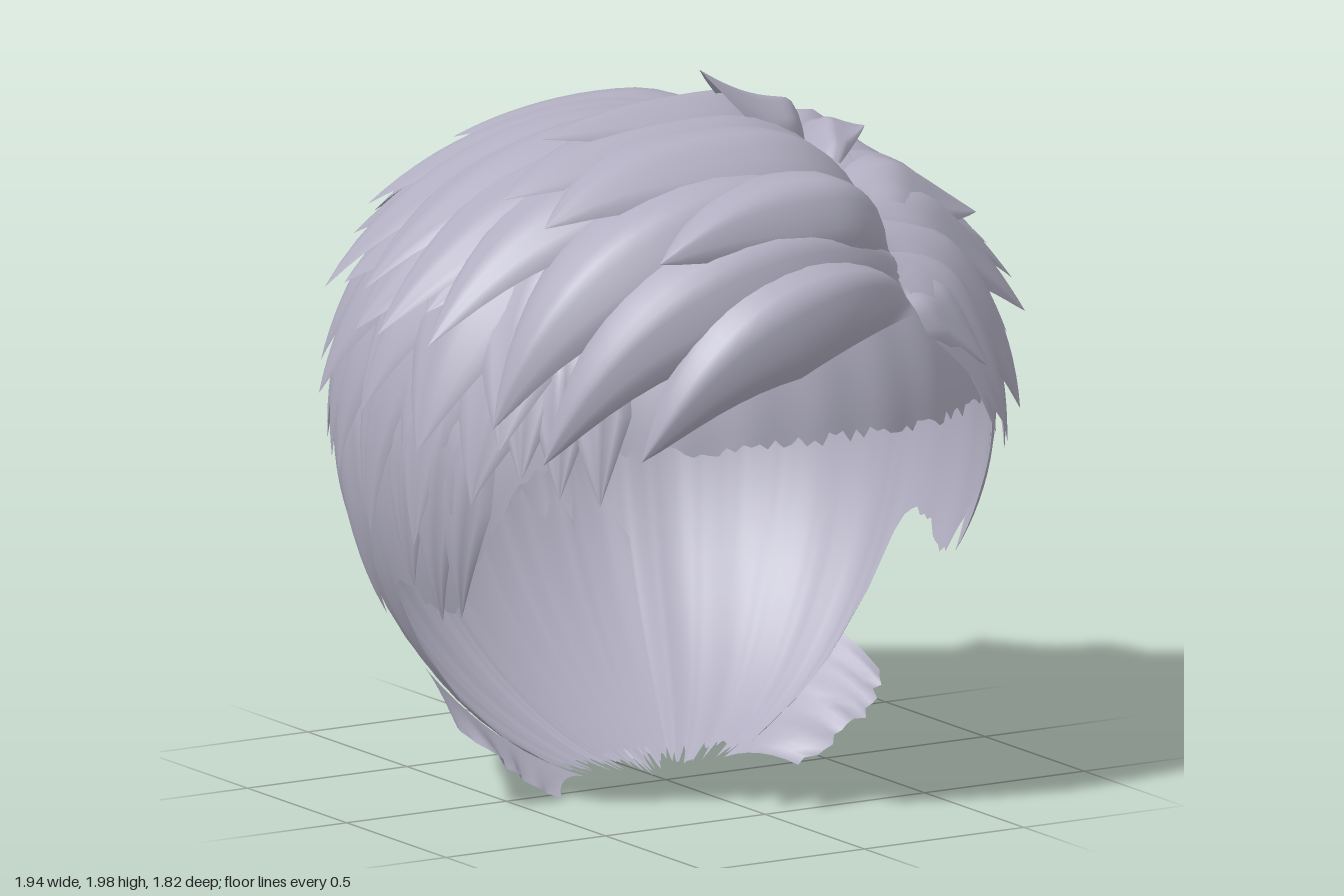
import * as THREE from 'three';

const RAD = Math.PI / 180;
const hair = new THREE.MeshStandardMaterial({ color: 0xb0aec0, side: THREE.DoubleSide });
hair.name = 'pale lilac grey hair';

let seed = 7;
const rand = () => (seed = (seed * 16807) % 2147483647) / 2147483647;
const vary = (v, d) => v + (rand() * 2 - 1) * d;
const lerp = THREE.MathUtils.lerp;
const TOP = 0.78, BOTTOM = 0.99;

// Head surface: a direction from the head centre, pushed out by off
function surface(dir, off) {
  const c = THREE.MathUtils.clamp(dir.y, -1, 1), s = Math.sqrt(1 - c * c);
  const a = Math.atan2(dir.x, dir.z);
  const rx = 0.87 * Math.pow(s, c > 0 ? 0.8 : 1.03);
  const rz = 0.87 * Math.pow(s, c > 0 ? 0.8 : 1.35);
  return new THREE.Vector3(
    rx * Math.sin(a), 1 + c * (c > 0 ? TOP : BOTTOM), rz * Math.cos(a)
  ).addScaledVector(dir, off);
}

// Direction from azimuth (0 = front, + = left side) and height
function at(deg, y) {
  const c = THREE.MathUtils.clamp((y - 1) / (y > 1 ? TOP : BOTTOM), -1, 1);
  const s = Math.sqrt(1 - c * c);
  return new THREE.Vector3(s * Math.sin(deg * RAD), c, s * Math.cos(deg * RAD));
}

// Direction of a point on the top, from x and z
function onTop(x, z) {
  const r = Math.hypot(x, z), s = Math.min(1, Math.pow(r / 0.87, 1.25));
  return new THREE.Vector3(x / r * s, Math.sqrt(1 - s * s), z / r * s);
}

// Smooth sheet from a point function over a grid
function sheet(name, nu, nv, point) {
  const pos = [], idx = [];
  for (let j = 0; j <= nv; j++)
    for (let i = 0; i <= nu; i++) {
      const p = point(i / nu, j / nv);
      pos.push(p.x, p.y, p.z);
    }
  for (let j = 0; j < nv; j++)
    for (let i = 0; i < nu; i++) {
      const k = j * (nu + 1) + i, m = k + nu + 1;
      idx.push(k, m, k + 1, k + 1, m, m + 1);
    }
  const g = new THREE.BufferGeometry();
  g.setAttribute('position', new THREE.Float32BufferAttribute(pos, 3));
  g.setIndex(idx);
  g.computeVertexNormals();
  const mesh = new THREE.Mesh(g, hair);
  mesh.name = name;
  return mesh;
}

// Pointed, arched lock lying on the head from root to tip
function lock(name, root, tip, width, lift, tipLift, bend = 0) {
  const angle = root.angleTo(tip), axis = root.clone().cross(tip).normalize();
  return sheet(name, 10, 16, (uu, t) => {
    const u = 1 - uu * 2;
    const dir = root.clone().applyAxisAngle(axis, angle * t);
    const body = t < 0.5 ? lerp(0.55, 1, Math.sin(t * Math.PI))
      : Math.pow(1 - (t - 0.5) / 0.5, 0.9);
    dir.addScaledVector(axis, u * width * body - bend * Math.sin(Math.PI * t)).normalize();
    const rise = t < 0.35 ? lerp(0.01, lift, Math.sin(t / 0.35 * Math.PI / 2))
      : lerp(lift, tipLift, Math.pow((t - 0.35) / 0.65, 2.2));
    const strands = 0.006 * Math.cos(u * 8) * body * Math.min(1, t * 4);
    return surface(dir, Math.max(0.003, rise - (0.65 * lift + 0.01) * u * u * body + strands));
  });
}

// Lower edge of the scalp: forehead, sideburn, ear notch, nape
const EDGE = [[0, 1.1], [48, 1.08], [57, 1.0], [64, 0.85], [70, 0.7], [77, 0.57], [85, 0.58],
  [87, 0.63], [94, 0.64], [97, 0.6], [98.5, 0.5], [99.5, 0.32], [103, 0.08], [112, 0.045], [180, 0.02]];
function edge(deg) {
  const a = Math.abs(deg);
  let i = 1;
  while (i < EDGE.length - 1 && EDGE[i][0] < a) i++;
  const [a0, y0] = EDGE[i - 1], [a1, y1] = EDGE[i];
  return lerp(y0, y1, (a - a0) / (a1 - a0));
}

export function createModel() {
  const model = new THREE.Group();
  model.name = 'hair';
  const add = (...m) => model.add(...m);

  // Scalp shell with fine strands and a ragged hem
  const cols = 240;
  const jag = Array.from({ length: cols + 1 }, () => rand() * 0.035);
  jag[cols] = jag[0];
  add(sheet('scalp', cols, 30, (u, t) => {
    const deg = u * 360 - 180;
    const end = Math.acos(at(deg, edge(deg) + jag[Math.round(u * cols)]).y);
    const th = lerp(0.01, end, t), a = deg * RAD;
    const dir = new THREE.Vector3(Math.sin(th) * Math.sin(a), Math.cos(th), Math.sin(th) * Math.cos(a));
    return surface(dir, 0.003 * (Math.sin(a * 26 + th * 2) - 1) * Math.sin(th) * t);
  }));

  // Ragged layer inside the nape
  const innerTop = Array.from({ length: 25 }, (_, i) => vary(0.68, 0.08) - 0.1 * Math.abs(i - 12) / 12);
  add(sheet('innerNape', 24, 10, (u, t) =>
    surface(at(lerp(157, 203, u), lerp(innerTop[Math.round(u * 24)], 0.06, t)), lerp(-0.03, -0.012, t))));

  // A ring of overlapping locks around the sides and back
  function tier(name, n, a0, a1, rootY, tipY, dy, width, lift, tipLift) {
    for (let i = 0; i < n; i++) {
      const a = vary(lerp(a0, a1, i / (n - 1)), 3);
      add(lock(name, at(a + 4, rootY), at(vary(a, 3), vary(tipY, dy)),
        vary(width, 0.03), vary(lift, 0.006), vary(tipLift, 0.012)));
    }
  }
  tier('napeLock', 10, 112, 248, 1.15, 0.6, 0.12, 0.18, 0.012, 0.006);
  tier('lowerLock', 18, 66, 294, 1.5, 0.88, 0.11, 0.18, 0.028, 0.035);
  tier('middleLock', 16, 60, 300, 1.66, 1.13, 0.09, 0.21, 0.045, 0.07);
  tier('upperLock', 12, 75, 285, 1.74, 1.36, 0.07, 0.24, 0.055, 0.11);

  // Locks swept from the parting: root and tip directions, width, lift, tip lift, bend
  const sweptRight = [
    [onTop(0.31, 0.67), at(-36, 1.08), 0.2, 0.15, 0.03, 0.14],
    [onTop(0.33, 0.61), at(-53, 1.06), 0.22, 0.14, 0.04, 0.18],
    [onTop(0.33, 0.56), at(-33, 1.5), 0.2, 0.18, 0.17, 0.08],
    [onTop(0.34, 0.48), at(-62, 1.14), 0.24, 0.13, 0.06, 0.16],
    [onTop(0.34, 0.41), at(-57, 1.56), 0.23, 0.14, 0.16, 0.12],
    [onTop(0.34, 0.32), at(-73, 1.3), 0.22, 0.1, 0.16, 0.1],
    [onTop(0.34, 0.24), at(-70, 1.6), 0.21, 0.11, 0.16, 0.06],
    [onTop(0.33, 0.15), at(-84, 1.3), 0.24, 0.08, 0.17, 0],
    [onTop(0.32, 0.08), onTop(-0.42, 0.13), 0.15, 0.14, 0.16, 0],
    [onTop(0.30, 0.06), at(-96, 1.38), 0.24, 0.075, 0.13, 0],
    [onTop(0.30, 0.00), at(-111, 1.34), 0.26, 0.07, 0.14, 0]
  ];
  const sweptLeft = [
    [onTop(0.37, 0.62), at(38, 1.2), 0.13, 0.06, 0.07, 0],
    [onTop(0.36, 0.57), at(40, 1.05), 0.18, 0.07, 0.08, -0.05],
    [onTop(0.36, 0.50), at(52, 1.05), 0.21, 0.075, 0.08, -0.05],
    [onTop(0.36, 0.42), at(63, 1.24), 0.22, 0.08, 0.13, -0.05],
    [onTop(0.36, 0.32), at(68, 1.46), 0.22, 0.085, 0.13, 0],
    [onTop(0.36, 0.22), at(78, 1.26), 0.25, 0.075, 0.16, 0],
    [onTop(0.35, 0.12), at(72, 1.68), 0.17, 0.09, 0.11, 0],
    [onTop(0.34, 0.04), at(97, 1.26), 0.25, 0.07, 0.16, 0],
    [onTop(0.34, 0.04), onTop(0.66, -0.27), 0.16, 0.09, 0.13, 0],
    [onTop(0.32, -0.04), at(110, 1.32), 0.25, 0.07, 0.16, 0]
  ];
  const crown = [
    [onTop(0.30, -0.05), at(128, 1.42), 0.27, 0.06, 0.12, 0],
    [onTop(0.28, -0.08), at(150, 1.48), 0.29, 0.06, 0.09, 0],
    [onTop(0.27, -0.08), at(172, 1.4), 0.31, 0.06, 0.08, 0],
    [onTop(0.25, -0.05), at(195, 1.48), 0.31, 0.06, 0.08, 0],
    [onTop(0.25, -0.03), at(216, 1.44), 0.3, 0.065, 0.11, 0],
    [onTop(0.26, -0.02), at(234, 1.5), 0.28, 0.075, 0.12, 0],
    [onTop(0.30, -0.16), onTop(-0.37, -0.38), 0.24, 0.085, 0.1, 0]
  ];
  const groups = { fringeLock: sweptRight, sideLock: sweptLeft, crownLock: crown };
  for (const [name, list] of Object.entries(groups))
    for (const shape of list) add(lock(name, ...shape));

  // Upright tuft beside the parting
  add(lock('tuft', onTop(0.33, 0.15), onTop(-0.03, 0.19), 0.1, 0.13, 0.235));

  for (const s of [-1, 1]) {
    // Flared, ragged flap reaching forward from the nape below the ear
    const reach = Array.from({ length: 17 }, (_, i) => vary(79, 4) + (i < 5 ? (5 - i) * 2.5 : 0));
    add(sheet('napeFlap', 16, 6, (u, t) => {
      const y = lerp(lerp(0.36, 0.3, t), lerp(0.05, 0.1, t), u);
      return surface(at(s * lerp(112, reach[Math.round(u * 16)], t), y), lerp(0.005, 0.08, t * t));
    }));
    // Sideburns and temples
    for (let i = 0; i < 3; i++)
      add(lock('sideburn', at(s * (66 + i * 8), 1.2), at(s * (74 + i * 6), vary(0.62, 0.05)), 0.1, 0.02, 0.012));
    for (let i = 0; i < 3; i++)
      add(lock('templeLock', at(s * (45 + i * 7), 1.4), at(s * (43 + i * 7), vary(1.0, 0.05)), 0.1, 0.03, 0.04));
  }

  return model;
}
